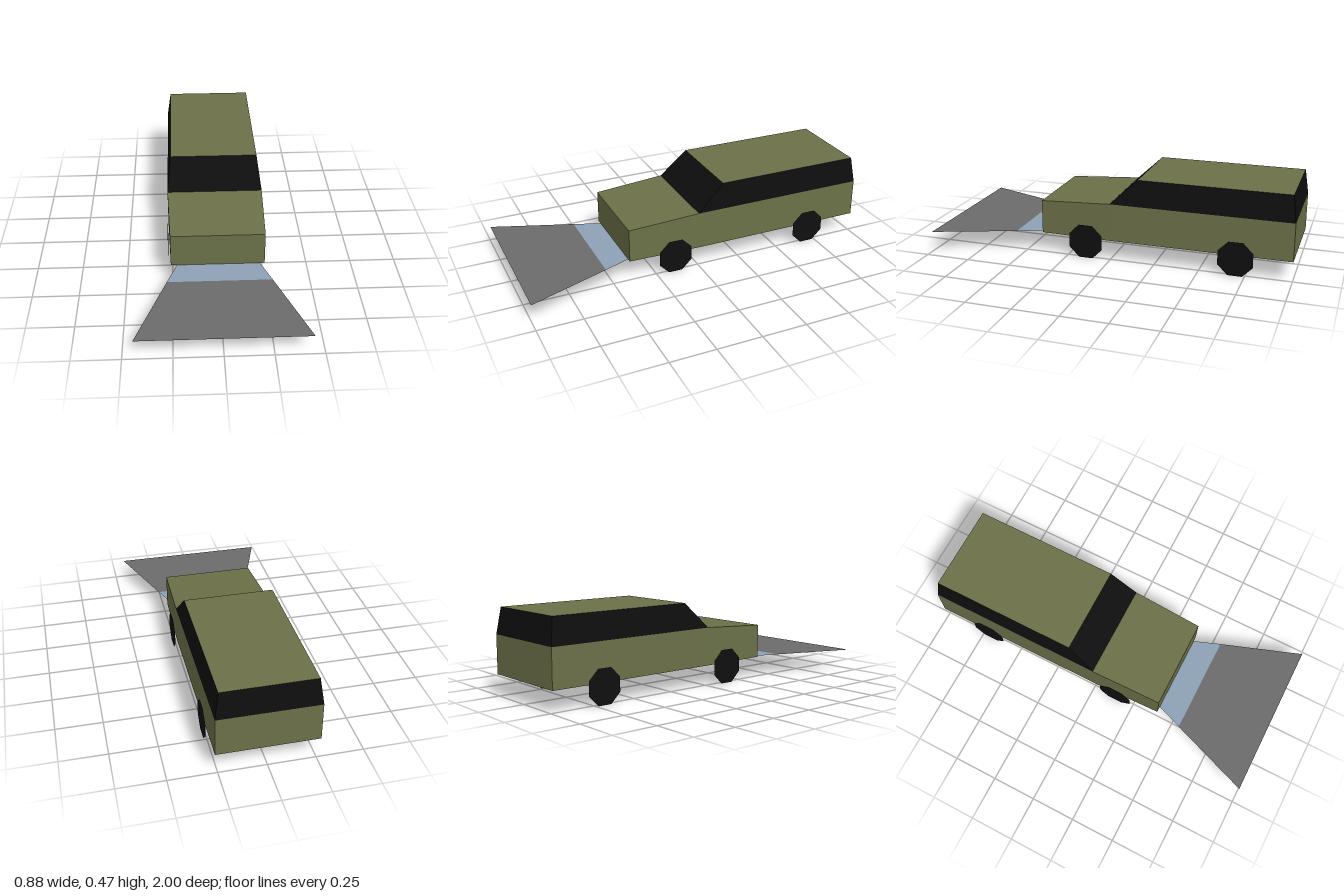
import * as THREE from 'three';

const paint = (name, color, side = THREE.FrontSide) => {
  const m = new THREE.MeshStandardMaterial({ color, side });
  m.name = name;
  return m;
};

// Flat-sided surface from convex faces, each listed counter-clockwise from outside
function panels(name, material, faces) {
  const pos = [];
  for (const f of faces)
    for (let i = 1; i < f.length - 1; i++) pos.push(...f[0], ...f[i], ...f[i + 1]);
  const g = new THREE.BufferGeometry();
  g.setAttribute('position', new THREE.Float32BufferAttribute(pos, 3));
  g.computeVertexNormals();
  const mesh = new THREE.Mesh(g, material);
  mesh.name = name;
  return mesh;
}

// Rectangle across the car: half width, height and z give a left and a right corner
const pair = (w, y, z) => ({ l: [w, y, z], r: [-w, y, z] });

export function createModel() {
  const olive = paint('olive paint', 0x6b7048);
  const black = paint('black glass', 0x0e0e0e);
  const tyre = paint('black tyre', 0x0f0f0f, THREE.DoubleSide);
  const grey = paint('grey', 0x6b6b6b, THREE.DoubleSide);
  const blue = paint('pale blue', 0x8da2b6, THREE.DoubleSide);

  const model = new THREE.Group();
  const car = new THREE.Group();
  car.name = 'car';
  car.position.x = -0.004;
  model.add(car);

  // Corners of the lower body and the cabin
  const floorY = 0.115, beltY = 0.326;
  const backLow = pair(0.267, floorY, -1), backBelt = pair(0.267, beltY, -1);
  const midLow = pair(0.267, floorY, 0), midBelt = pair(0.267, beltY, 0);
  const noseLow = pair(0.2535, floorY, 0.403), noseTop = pair(0.2535, 0.302, 0.403);
  const roofBack = pair(0.2465, 0.47, -0.98), roofFront = pair(0.2465, 0.47, -0.152);

  // Painted body
  car.add(panels('lowerBody', olive, [
    [noseLow.r, noseLow.l, noseTop.l, noseTop.r],
    [backLow.l, backLow.r, backBelt.r, backBelt.l],
    [midLow.l, backLow.l, backBelt.l, midBelt.l],
    [noseLow.l, midLow.l, midBelt.l, noseTop.l],
    [backLow.r, midLow.r, midBelt.r, backBelt.r],
    [midLow.r, noseLow.r, noseTop.r, midBelt.r],
  ]));
  car.add(panels('hood', olive, [[noseTop.r, noseTop.l, midBelt.l, midBelt.r]]));
  car.add(panels('roof', olive, [[roofFront.r, roofFront.l, roofBack.l, roofBack.r]]));
  car.add(panels('underside', grey, [
    [backLow.r, backLow.l, midLow.l, noseLow.l, noseLow.r, midLow.r],
  ]));

  // Wrap-around windows
  car.add(panels('windows', black, [
    [midBelt.r, midBelt.l, roofFront.l, roofFront.r],
    [backBelt.l, backBelt.r, roofBack.r, roofBack.l],
    [midBelt.l, backBelt.l, roofBack.l, roofFront.l],
    [backBelt.r, midBelt.r, roofFront.r, roofBack.r],
  ]));

  // Flat eight-sided wheels
  const apothem = 0.095;
  const disc = new THREE.CircleGeometry(apothem / Math.cos(Math.PI / 8), 8, Math.PI / 8);
  for (const side of [1, -1])
    for (const [name, z] of [['front', 0.14], ['rear', -0.698]]) {
      const wheel = new THREE.Mesh(disc, tyre);
      wheel.name = name + (side > 0 ? 'Left' : 'Right') + 'Wheel';
      wheel.rotation.y = side * Math.PI / 2;
      wheel.position.set(side * 0.27, apothem, z);
      car.add(wheel);
    }

  // Flat flaring apron ahead of the nose
  const a = pair(0.224, floorY, 0.403), b = pair(0.279, floorY, 0.55), c = pair(0.442, floorY, 1);
  model.add(panels('apronInner', blue, [[b.r, b.l, a.l, a.r]]));
  model.add(panels('apronOuter', grey, [[c.r, c.l, b.l, b.r]]));

  return model;
}
